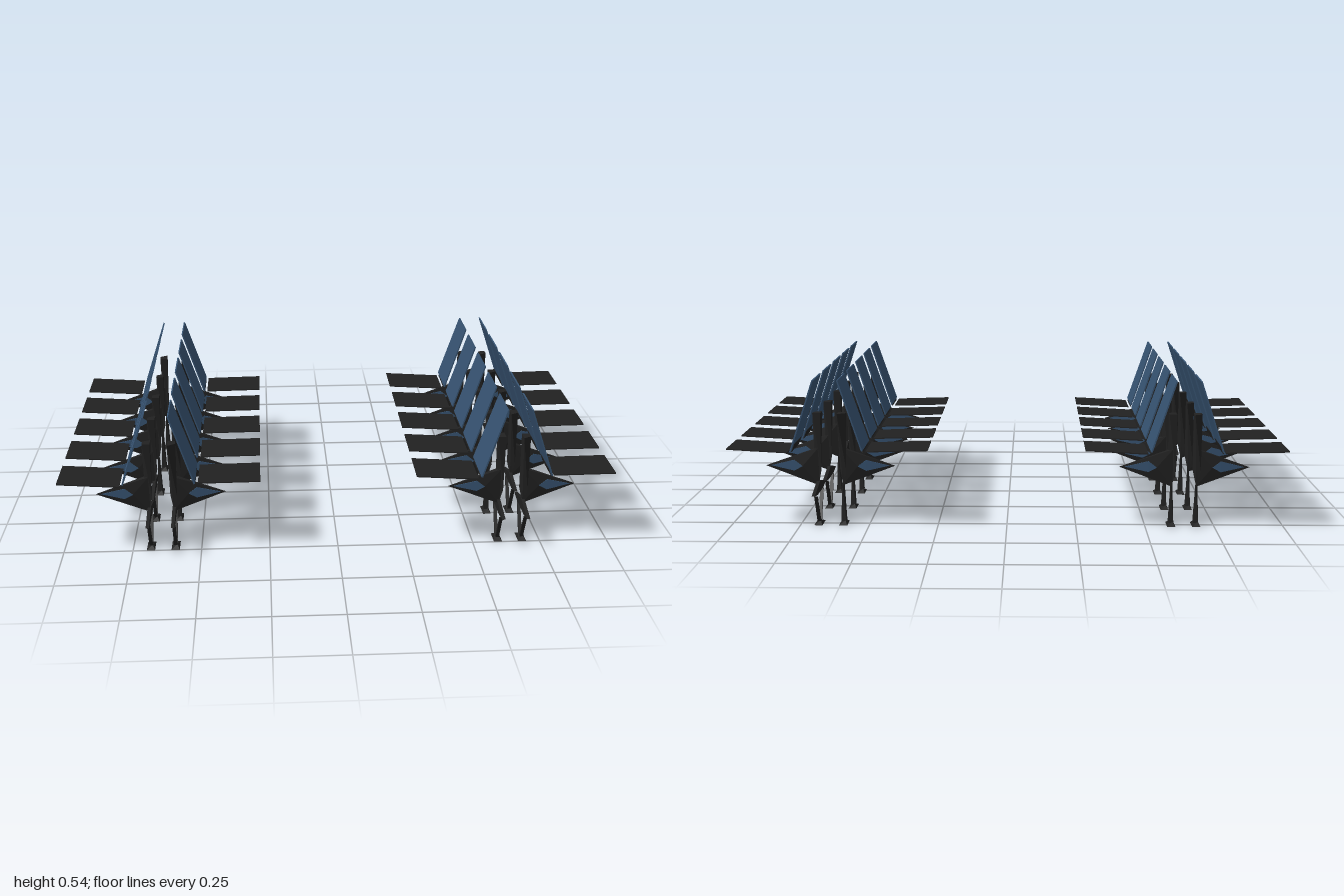
import * as THREE from 'three';
import { ConvexGeometry } from 'three/addons/geometries/ConvexGeometry.js';

const fabric = new THREE.MeshStandardMaterial({ name: 'blueFabric', color: 0x365270 });
const black = new THREE.MeshStandardMaterial({ name: 'blackFrame', color: 0x212121 });
fabric.flatShading = black.flatShading = true;

// Convex faceted part from corner points
function hull(name, material, points) {
  const mesh = new THREE.Mesh(new ConvexGeometry(points.map(p => new THREE.Vector3(...p))), material);
  mesh.name = name;
  return mesh;
}

// Flat outline given a thickness along the vector d
function slab(name, material, outline, d) {
  const shift = k => outline.map(p => p.map((v, i) => v + d[i] * k));
  return hull(name, material, [...shift(-0.5), ...shift(0.5)]);
}

const POST = 0.045; // distance of the post from the middle of a double row

// Thin plate across the row, outline given as [z, y]
const crossPlate = (name, pts) =>
  slab(name, black, pts.map(([z, y]) => [POST, y, z]), [0.012, 0, 0]);

// One seat facing +x, measured from the middle of its double row
function makeSeat(braced, side) {
  const seat = new THREE.Group();
  seat.name = 'seat';

  // Seat cushion and backrest, slightly skewed
  seat.add(slab('cushion', black, [
    [0.138, 0.281, -0.092], [0.138, 0.281, 0.072],
    [0.36, 0.29, 0.088], [0.36, 0.29, -0.078]], [0, 0.004, 0]));
  seat.add(slab('backrest', fabric, [
    [0.043, 0.54, -0.088], [0.043, 0.54, 0.086],
    [0.127, 0.288, 0.095], [0.127, 0.288, -0.095]], [0.005, 0.0015, 0]));
  seat.add(slab('backrestFoot', black, [
    [0.118, 0.308, -0.07], [0.118, 0.308, 0.07],
    [0.128, 0.28, 0.075], [0.128, 0.28, -0.075]], [0.003, 0.001, 0]));

  // Upright post, widening above the bracket
  seat.add(hull('post', black, [
    [POST, 0.14, 0],
    [POST - 0.013, 0.2, -0.012], [POST + 0.013, 0.2, 0.012],
    [POST - 0.014, 0.41, -0.014], [POST + 0.014, 0.41, -0.014],
    [POST - 0.014, 0.41, 0.03], [POST + 0.014, 0.41, 0.014]]));

  // Pointed bracket carrying the cushion, with blue side plates
  seat.add(hull('bracket', black, [
    [0.235, 0.215, 0], [0.042, 0.282, -0.012], [0.042, 0.282, 0.012],
    [0.042, 0.142, -0.004], [0.042, 0.142, 0.004],
    [0.1, 0.215, -0.012], [0.1, 0.215, 0.012]]));
  for (const s of [-1, 1]) {
    seat.add(slab('bracketPanel', fabric, [
      [0.1, 0.215, s * 0.0125], [0.13, 0.238, s * 0.0105],
      [0.215, 0.216, s * 0.003], [0.13, 0.198, s * 0.0105]], [0, 0, 0.003]));
  }

  // Flared foot
  seat.add(hull('foot', black, [
    [POST - 0.015, 0, -0.035], [POST + 0.015, 0, -0.035],
    [POST - 0.015, 0, 0.035], [POST + 0.015, 0, 0.035],
    [POST - 0.006, 0.013, -0.012], [POST + 0.006, 0.013, 0.012]]));

  if (braced) {
    // Two splayed struts under a wide crossbar
    for (const s of [-1, 1]) {
      seat.add(crossPlate('strut', [[s * 0.003, 0.01], [s * 0.016, 0.01], [s * 0.069, 0.115], [s * 0.062, 0.115]]));
    }
    seat.add(crossPlate('crossbar', [
      [side * 0.12, 0.131], [0, 0.16], [-side * 0.12, 0.129], [-side * 0.06, 0.12], [side * 0.06, 0.12]]));
  } else {
    // Single tapered leg
    seat.add(hull('leg', black, [
      [POST - 0.009, 0.01, -0.014], [POST + 0.009, 0.01, -0.014],
      [POST - 0.009, 0.01, 0.014], [POST + 0.009, 0.01, 0.014],
      [POST - 0.004, 0.15, 0.003], [POST + 0.004, 0.15, -0.003]]));
  }
  return seat;
}

export function createModel() {
  const model = new THREE.Group();
  model.name = 'seatRows';
  const zs = [0.465, 0.225, -0.015, -0.255, -0.497];

  // Two back-to-back double rows of five seats
  for (const x of [-0.64, 0.64]) {
    const row = new THREE.Group();
    row.name = x < 0 ? 'rightDoubleRow' : 'leftDoubleRow';
    row.position.x = x;
    for (const side of [-1, 1]) {
      zs.forEach((z, i) => {
        const braced = i === 0 || (i === 1 && side * x > 0) || (i > 2 && x > 0 && side > 0);
        const seat = makeSeat(braced, side);
        seat.position.z = z;
        seat.rotation.y = side > 0 ? 0 : Math.PI;
        row.add(seat);
      });
    }
    model.add(row);
  }
  return model;
}
